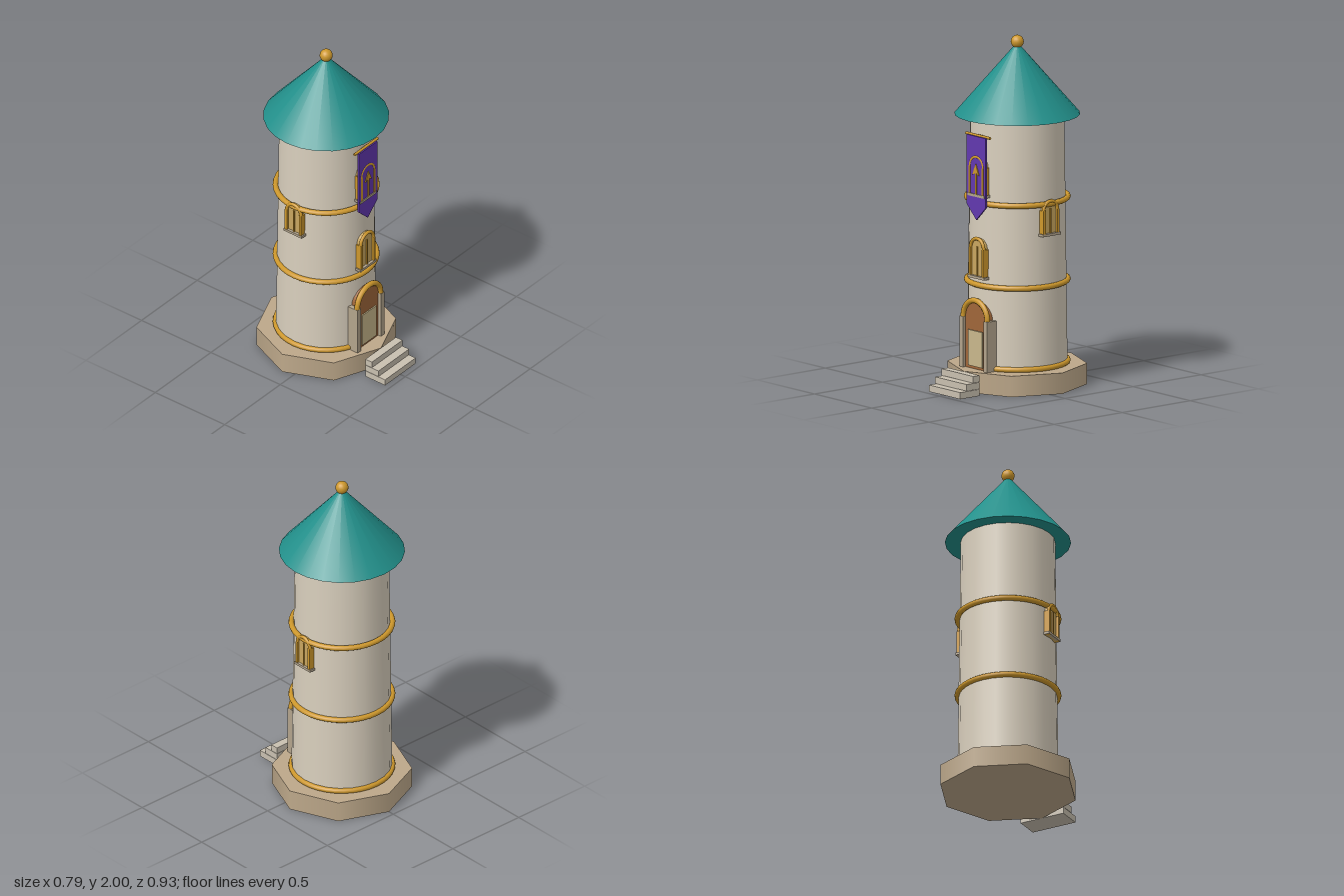
import * as THREE from 'three';

const mat = (name, color) => {
  const m = new THREE.MeshStandardMaterial({ color });
  m.name = name;
  return m;
};

const WALL = mat('pale stone', 0xd9cfbd);
const BASE = mat('tan stone', 0xbda88a);
const STEP = mat('grey stone', 0xc9c0b0);
const JAMB = mat('weathered stone', 0xb3a48c);
const ROOF = mat('teal roof', 0x22908b);
const GOLD = mat('gold', 0xce982c);
const WOOD = mat('brown wood', 0xa0673a);
const PANEL = mat('light wood', 0xc9b88c);
const GLASS = mat('amber glass', 0xc9a65f);
const CLOTH = mat('purple cloth', 0x6238b0);

const AXIS_Z = -0.07; // the tower stands behind the steps

function add(parent, name, geometry, material, x = 0, y = 0, z = 0) {
  const mesh = new THREE.Mesh(geometry, material);
  mesh.name = name;
  mesh.position.set(x, y, z);
  parent.add(mesh);
  return mesh;
}

// Box given by its bottom centre, with its front face at z
function block(parent, name, material, w, h, d, x, y, z) {
  return add(parent, name, new THREE.BoxGeometry(w, h, d), material, x, y + h / 2, z - d / 2);
}

// Slab with a round top, standing on y = 0
function archSlab(halfWidth, spring, depth) {
  const s = new THREE.Shape();
  s.moveTo(-halfWidth, 0);
  s.lineTo(halfWidth, 0);
  s.lineTo(halfWidth, spring);
  s.absarc(0, spring, halfWidth, 0, Math.PI, false);
  s.closePath();
  return new THREE.ExtrudeGeometry(s, { depth, bevelEnabled: false, curveSegments: 16 });
}

function plate(points, depth) {
  const shape = new THREE.Shape(points.map(([x, y]) => new THREE.Vector2(x, y)));
  return new THREE.ExtrudeGeometry(shape, { depth, bevelEnabled: false });
}

const halfRing = (r, tube) => new THREE.TorusGeometry(r, tube, 10, 20, Math.PI);

// Arched window facing +z, with its sill on y = 0 and the wall at z = 0
function makeWindow(name, r, spring) {
  const g = new THREE.Group();
  g.name = name;
  add(g, 'windowPane', archSlab(r, spring, 0.035), GLASS, 0, 0, -0.02);
  add(g, 'windowArch', halfRing(r, 0.01), GOLD, 0, spring, 0.019);
  for (const side of [-1, 1]) {
    block(g, 'windowJamb', GOLD, 0.016, spring, 0.045, side * r, 0, 0.029);
  }
  block(g, 'windowMullion', GOLD, 0.008, spring, 0.03, 0, 0.01, 0.022);
  block(g, 'windowSill', JAMB, 2 * r + 0.03, 0.015, 0.05, 0, 0, 0.031);
  return g;
}

export function createModel() {
  const model = new THREE.Group();
  model.name = 'tower';

  // Foundation, wall and roof
  add(model, 'foundation', new THREE.CylinderGeometry(0.395, 0.395, 0.12, 8), BASE, 0, 0.06, AXIS_Z);
  add(model, 'towerWall', new THREE.CylinderGeometry(0.266, 0.284, 1.44, 24), WALL, 0, 0.83, AXIS_Z);
  add(model, 'roof', new THREE.ConeGeometry(0.355, 0.41, 24), ROOF, 0, 1.755, AXIS_Z);
  add(model, 'finial', new THREE.SphereGeometry(0.037, 16, 12), GOLD, 0, 1.963, AXIS_Z);

  // Gold bands round the wall
  for (const y of [0.133, 0.6, 1.075]) {
    add(model, 'band', new THREE.TorusGeometry(0.285, 0.016, 10, 36), GOLD, 0, y, AXIS_Z)
      .rotation.x = Math.PI / 2;
  }

  // Entrance steps
  for (let i = 0; i < 3; i++) {
    const front = 0.465 - i * 0.0475;
    block(model, 'step', STEP, 0.275, 0.038, front - 0.323, 0, i * 0.04, front);
  }

  // Door with stone posts and a gold arch
  const door = new THREE.Group();
  door.name = 'door';
  door.position.y = 0.12;
  add(door, 'doorLeaf', archSlab(0.095, 0.29, 0.07), WOOD, 0, 0, 0.164);
  block(door, 'doorPanel', PANEL, 0.126, 0.205, 0.008, 0, 0.015, 0.241);
  add(door, 'doorArch', halfRing(0.105, 0.016), GOLD, 0, 0.29, 0.238);
  for (const side of [-1, 1]) {
    block(door, 'doorPost', JAMB, 0.032, 0.29, 0.07, side * 0.105, 0, 0.254);
  }
  model.add(door);

  // Front windows
  for (const y of [0.64, 1.11]) {
    const w = makeWindow('frontWindow', 0.057, 0.172);
    w.position.set(0, y, 0.206);
    model.add(w);
  }

  // Side windows
  for (const side of [-1, 1]) {
    const w = makeWindow(side > 0 ? 'leftWindow' : 'rightWindow', 0.051, 0.148);
    w.position.set(side * 0.271, 0.893, AXIS_Z);
    w.rotation.y = side * Math.PI / 2;
    model.add(w);
  }

  // Banner hung behind the upper window frame
  const banner = plate([[-0.083, 1.457], [-0.083, 1.058], [0, 0.977], [0.083, 1.058], [0.083, 1.457]], 0.009);
  add(model, 'banner', banner, CLOTH, 0, 0, 0.223);
  add(model, 'bannerRod', new THREE.CylinderGeometry(0.008, 0.008, 0.21, 10), GOLD, 0, 1.46, 0.217)
    .rotation.z = Math.PI / 2;
  const emblem = [[0, 1.3], [-0.028, 1.235], [-0.006, 1.245], [-0.006, 1.125], [0.006, 1.125], [0.006, 1.245], [0.028, 1.235]];
  add(model, 'bannerEmblem', plate(emblem, 0.006), GOLD, 0, 0, 0.231);

  return model;
}
